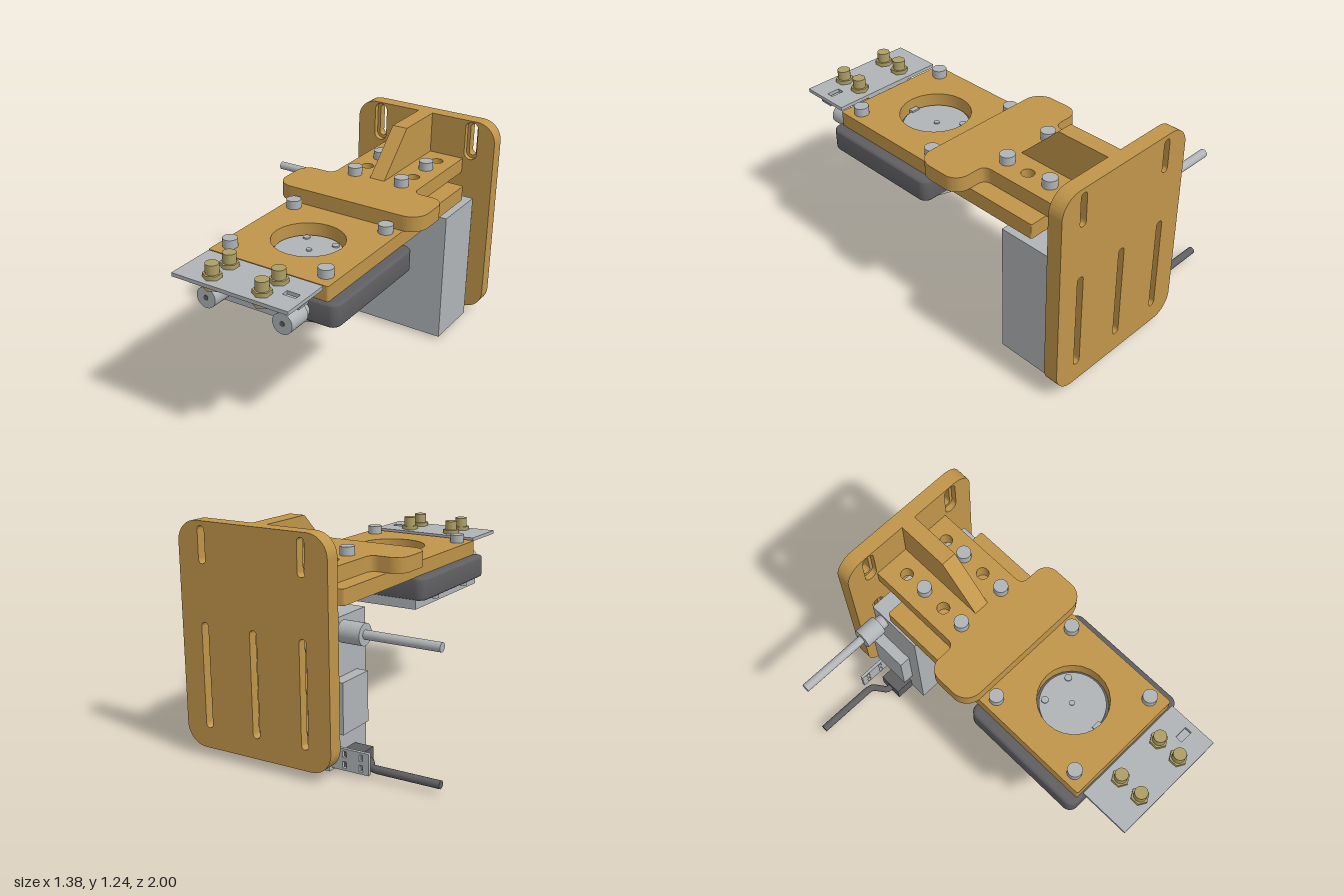
import * as THREE from 'three';
import { toCreasedNormals } from 'three/addons/utils/BufferGeometryUtils.js';

const mat = (name, color) => {
  const m = new THREE.MeshStandardMaterial({ color });
  m.name = name;
  return m;
};

export function createModel() {
  const root = new THREE.Group();
  root.name = 'sensorBracketAssembly';
  const tan = mat('tanBracket', 0xc0954a);
  const grey = mat('lightGrey', 0xb0b4b7);
  const dark = mat('darkGrey', 0x5f5f62);
  const brass = mat('brass', 0xaf9f66);
  const green = mat('boardGreen', 0x27643c);

  const add = (name, geo, material) => {
    const m = new THREE.Mesh(geo, material);
    m.name = name;
    root.add(m);
    return m;
  };
  // Box given by its limits
  const box = (name, m, x0, x1, y0, y1, z0, z1) => add(name,
    new THREE.BoxGeometry(x1 - x0, y1 - y0, z1 - z0)
      .translate((x0 + x1) / 2, (y0 + y1) / 2, (z0 + z1) / 2), m);
  // Upright cylinder between two heights
  const post = (name, m, x, z, r, y0, y1, sides = 28) => add(name,
    new THREE.CylinderGeometry(r, r, y1 - y0, sides).translate(x, (y0 + y1) / 2, z), m);
  // Cylinders lying along x or z
  const rodX = (name, m, x0, x1, y, z, r) => add(name,
    new THREE.CylinderGeometry(r, r, x1 - x0, 28).rotateZ(Math.PI / 2).translate((x0 + x1) / 2, y, z), m);
  const rodZ = (name, m, x, y, z0, z1, r) => add(name,
    new THREE.CylinderGeometry(r, r, z1 - z0, 28).rotateX(Math.PI / 2).translate(x, y, (z0 + z1) / 2), m);
  const tube = (name, m, r, pts) => add(name, new THREE.TubeGeometry(
    new THREE.CatmullRomCurve3(pts.map(p => new THREE.Vector3(...p)), false, 'catmullrom', 0.3), 32, r, 12), m);

  const rounded = (x0, x1, y0, y1, r, Type = THREE.Shape) => {
    const s = new Type();
    s.absarc(x1 - r, y0 + r, r, -Math.PI / 2, 0);
    s.absarc(x1 - r, y1 - r, r, 0, Math.PI / 2);
    s.absarc(x0 + r, y1 - r, r, Math.PI / 2, Math.PI);
    s.absarc(x0 + r, y0 + r, r, Math.PI, Math.PI * 1.5);
    s.closePath();
    return s;
  };
  const circle = (x, y, r) => {
    const p = new THREE.Path();
    p.absarc(x, y, r, 0, Math.PI * 2);
    return p;
  };
  const extrude = (shape, depth, bevel = 0) => toCreasedNormals(new THREE.ExtrudeGeometry(shape, {
    depth: depth - 2 * bevel, curveSegments: 12, bevelEnabled: bevel > 0,
    bevelSize: bevel, bevelThickness: bevel, bevelOffset: -bevel, bevelSegments: 3,
  }).translate(0, 0, bevel), 0.6);
  // Horizontal slab; the shape is drawn in x and -z
  const slab = (name, m, shape, y0, y1, bevel) => add(name,
    extrude(shape, y1 - y0, bevel).rotateX(-Math.PI / 2).translate(0, y0, 0), m);

  // Mounting plate: narrow slots at the back, wider counterbores in front
  const slots = [[-0.05, 1.02, 1.21], [0.545, 1.02, 1.21],
    [-0.05, 0.16, 0.72], [0.245, 0.16, 0.72], [0.545, 0.16, 0.72]];
  [[0, -1, 0.05], [0.018, -0.95, 0.033]].forEach(([grow, z, depth], i) => {
    const s = rounded(-0.2, 0.69, 0.05, 1.235, 0.115);
    for (const [x, y0, y1] of slots) {
      const w = 0.021 + grow;
      s.holes.push(rounded(x - w, x + w, y0 - grow, y1 + grow, w - 0.0005, THREE.Path));
    }
    add(i ? 'mountingPlateFront' : 'mountingPlateBack', extrude(s, depth).translate(0, 0, z), tan);
  });

  // T-shaped arm with filleted neck and bolt holes
  const arm = new THREE.Shape();
  arm.moveTo(-0.01, 0.92);
  arm.lineTo(-0.01, 0.37);
  arm.quadraticCurveTo(-0.01, 0.32, -0.06, 0.32);
  arm.lineTo(-0.12, 0.32);
  arm.absarc(-0.12, 0.24, 0.08, Math.PI / 2, Math.PI);
  arm.absarc(-0.1, 0.13, 0.1, Math.PI, Math.PI * 1.5);
  arm.absarc(0.59, 0.13, 0.1, -Math.PI / 2, 0);
  arm.absarc(0.61, 0.24, 0.08, 0, Math.PI / 2);
  arm.lineTo(0.55, 0.32);
  arm.quadraticCurveTo(0.5, 0.32, 0.5, 0.37);
  arm.lineTo(0.5, 0.92);
  arm.closePath();
  for (const x of [0.1, 0.395]) {
    for (const z of [0.8, 0.515]) arm.holes.push(circle(x, z, 0.035));
  }
  slab('arm', tan, arm, 0.915, 1.0);

  // Sloped gusset between arm and plate
  const web = new THREE.Shape([[0.92, 0.99], [0.92, 1.235], [0.61, 1.235], [0.37, 1.0], [0.36, 0.99]]
    .map(p => new THREE.Vector2(...p)));
  add('gusset', extrude(web, 0.09).rotateY(Math.PI / 2).translate(0.2, 0, 0), tan);

  // Base plate with the round window
  const base = rounded(-0.11, 0.6, -0.69, 0.735, 0.01);
  base.holes.push(circle(0.245, -0.32, 0.195));
  for (const x of [0.1, 0.395]) base.holes.push(circle(x, 0.8 - 0.1, 0.001));
  base.holes.length = 1;
  slab('basePlate', tan, base, 0.83, 0.915);

  // Bolts through the arm and base plate
  for (const x of [0.1, 0.395]) {
    for (const z of [-0.66, -0.375]) {
      post('armBolt', grey, x, z, 0.04, 0.99, 1.048);
      post('armNut', grey, x, z, 0.045, 0.795, 0.83, 6);
    }
  }
  for (const x of [-0.04, 0.53]) {
    for (const z of [0.03, 0.6]) post('baseBolt', grey, x, z, 0.04, 0.91, 0.962);
  }

  // Sensor housing, window disc and lower lid
  slab('housing', dark, rounded(-0.17, 0.66, -0.71, 0.045, 0.05), 0.705, 0.833, 0.015);
  post('windowDisc', grey, 0.245, 0.32, 0.18, 0.82, 0.85, 48);
  for (const [x, z, r] of [[0.155, 0.2, 0.02], [0.335, 0.2, 0.02], [0.245, 0.315, 0.015]]) {
    post('discPin', grey, x, z, r, 0.845, 0.858, 16);
  }
  box('discTab', grey, 0.22, 0.27, 0.83, 0.86, 0.485, 0.512);
  const lid = new THREE.Shape([[-0.12, 0.71], [-0.12, 0.655], [0.36, 0.655], [0.55, 0.705], [0.55, 0.71]]
    .map(p => new THREE.Vector2(...p)));
  add('lowerLid', extrude(lid, 0.73).translate(0, 0, -0.04), grey);
  for (const x of [-0.14, 0.6]) {
    for (const z of [0.15, 0.5]) post('lidScrew', grey, x, z, 0.02, 0.685, 0.71, 16);
  }

  // Front connectors
  box('connectorPanel', grey, 0.09, 0.415, 0.712, 0.826, 0.706, 0.714);
  for (const x of [0.02, 0.47]) {
    rodZ('frontConnectorNeck', grey, x, 0.767, 0.7, 0.76, 0.04);
    rodZ('frontConnector', grey, x, 0.767, 0.75, 0.883, 0.057);
    rodZ('frontConnectorPin', dark, x, 0.767, 0.88, 0.886, 0.014);
  }
  for (const x of [0.14, 0.35]) rodZ('frontPlug', grey, x, 0.77, 0.71, 0.722, 0.033);

  // Front terminal plate with a rectangular opening
  const term = rounded(-0.09, 0.585, -1.0, -0.71, 0.002);
  term.holes.push(rounded(0.47, 0.545, -0.88, -0.84, 0.002, THREE.Path));
  slab('terminalPlate', grey, term, 0.905, 0.925);
  box('terminalChip', grey, 0.44, 0.575, 0.882, 0.892, 0.82, 0.9);
  box('terminalSupport', grey, 0.1, 0.39, 0.81, 0.906, 0.715, 0.727);
  for (const x of [0.1, 0.39]) {
    for (const z of [0.79, 0.925]) {
      post('terminalNut', brass, x, z, 0.049, 0.925, 0.948, 6);
      post('terminalStud', brass, x, z, 0.035, 0.945, 1.0);
      post('terminalLowerNut', brass, x, z, 0.049, 0.868, 0.905, 6);
    }
  }
  // Thin wires below the terminals
  tube('terminalWire', grey, 0.005, [[0.1, 0.88, 0.86], [0.1, 0.835, 0.86], [0.15, 0.825, 0.82],
    [0.245, 0.8, 0.73], [0.34, 0.825, 0.82], [0.39, 0.835, 0.86], [0.39, 0.88, 0.86]]);
  tube('chipWire', grey, 0.005, [[0.505, 0.885, 0.86], [0.505, 0.835, 0.86], [0.4, 0.825, 0.8], [0.28, 0.815, 0.73]]);

  // Link between housing and electronics box
  rodZ('linkStem', grey, 0.245, 0.767, -0.11, -0.03, 0.035);
  rodZ('linkConnector', grey, 0.245, 0.767, -0.235, -0.105, 0.057);
  tube('linkPipe', grey, 0.025, [[0.245, 0.767, -0.22], [0.245, 0.765, -0.27], [0.245, 0.73, -0.33], [0.245, 0.728, -0.4]]);
  rodZ('boxConnector', grey, 0.245, 0.728, -0.5, -0.37, 0.057);
  rodZ('boxConnectorNeck', grey, 0.245, 0.728, -0.55, -0.49, 0.04);
  post('linkScrew', grey, 0.245, -0.47, 0.03, 0.77, 0.805);

  // Electronics box with side cover, rear tabs and lower board
  box('electronicsBox', grey, -0.11, 0.6, 0.017, 0.785, -0.88, -0.54);
  box('sideCover', grey, -0.175, -0.1, 0.21, 0.48, -0.85, -0.62);
  box('rearTabs', grey, -0.02, 0.51, 0.09, 0.16, -0.9, -0.875);
  box('circuitBoard', green, -0.07, 0.57, 0.012, 0.018, -0.865, -0.57);
  box('boardChip', dark, 0.18, 0.26, 0.006, 0.013, -0.76, -0.68);
  for (const x of [-0.03, 0.53]) {
    for (const z of [-0.83, -0.6]) post('boardScrew', grey, x, z, 0.02, 0.004, 0.013, 16);
  }

  // Upper side cable
  rodX('upperCableNeck', grey, -0.16, -0.1, 0.727, -0.8, 0.04);
  rodX('upperCableBarrel', grey, -0.275, -0.15, 0.727, -0.8, 0.057);
  rodX('upperCable', grey, -0.692, -0.27, 0.727, -0.8, 0.024);

  // Lower side cable with its plug
  box('lowerPlug', dark, -0.22, -0.09, 0, 0.09, -0.785, -0.645);
  tube('lowerCable', dark, 0.02, [[-0.34, 0.045, -0.8], [-0.3, 0.045, -0.79], [-0.25, 0.045, -0.725], [-0.21, 0.045, -0.715]]);
  rodX('lowerCableEnd', dark, -0.692, -0.335, 0.045, -0.8, 0.021);

  // Perforated cable bracket
  const clip = rounded(-0.325, -0.1, 0.03, 0.145, 0.003);
  for (const x of [-0.28, -0.185]) {
    for (const y of [0.06, 0.115]) clip.holes.push(rounded(x - 0.011, x + 0.011, y - 0.017, y + 0.017, 0.002, THREE.Path));
  }
  add('cableBracket', extrude(clip, 0.018).translate(0, 0, -0.86), grey);

  return root;
}
